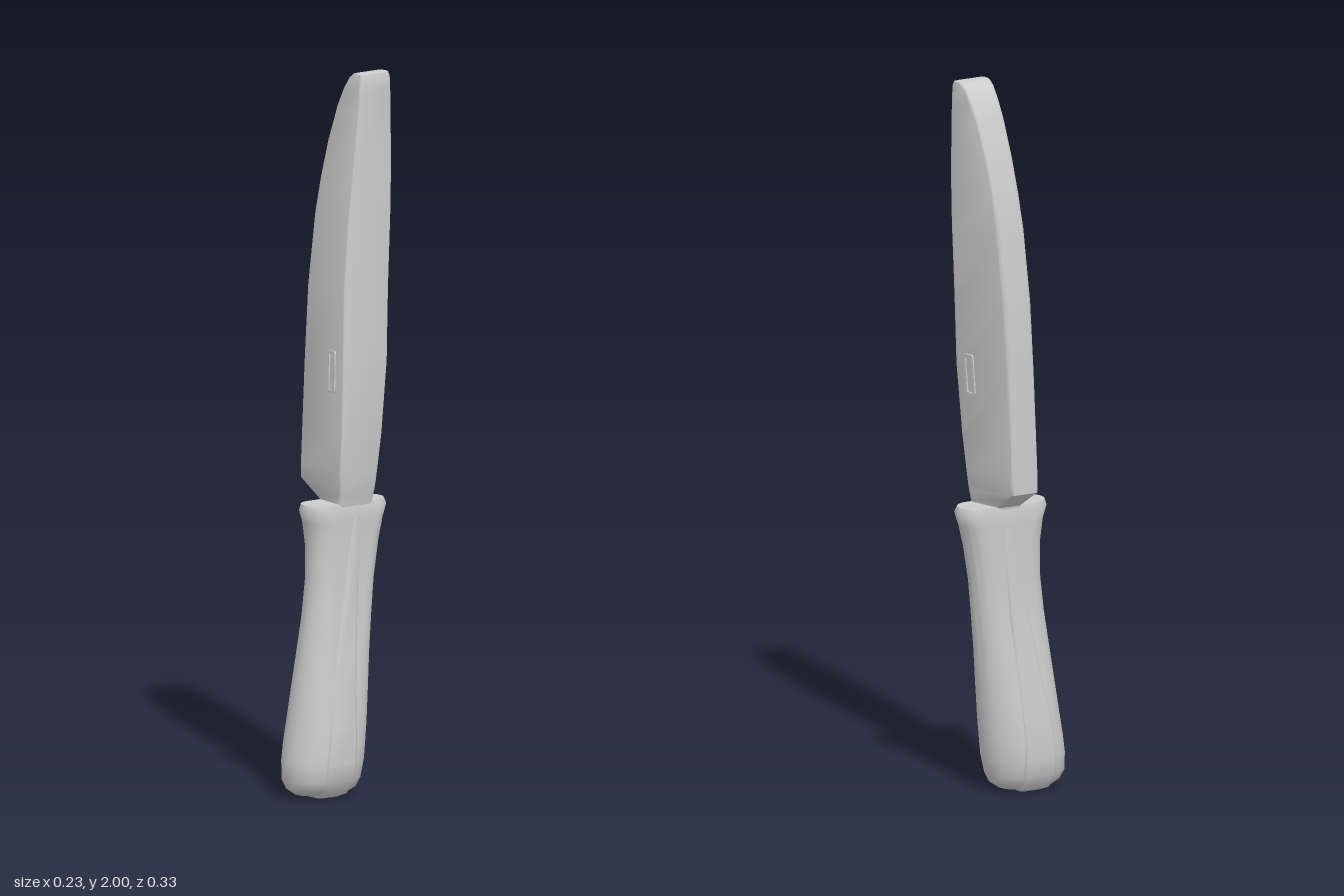
import * as THREE from 'three';
import { toCreasedNormals } from 'three/addons/utils/BufferGeometryUtils.js';

const steel = new THREE.MeshStandardMaterial({ color: 0xcccccc });
steel.name = 'plain grey';

// Blade rows: y, spine x, edge x, spine front z, edge front z, edge back z, spine back z
const bladeRows = [
  [0.78, 0.070, -0.030, 0.030, 0.012, -0.065, -0.088],
  [0.81, 0.072, -0.035, 0.030, 0.012, -0.065, -0.090],
  [0.84, 0.080, -0.082, 0.032, 0.014, -0.065, -0.092],
  [0.862, 0.083, -0.117, 0.035, 0.015, -0.066, -0.094],
  [0.90, 0.087, -0.118, 0.038, 0.015, -0.068, -0.097],
  [1.00, 0.094, -0.116, 0.040, 0.012, -0.071, -0.106],
  [1.20, 0.095, -0.113, 0.036, 0.005, -0.078, -0.124],
  [1.40, 0.086, -0.108, 0.025, -0.003, -0.087, -0.136],
  [1.60, 0.085, -0.091, 0.008, -0.014, -0.098, -0.145],
  [1.70, 0.085, -0.075, -0.004, -0.021, -0.106, -0.147],
  [1.80, 0.085, -0.054, -0.016, -0.029, -0.115, -0.147],
  [1.90, 0.086, -0.023, -0.027, -0.036, -0.125, -0.145],
  [1.95, 0.087, 0.000, -0.032, -0.039, -0.130, -0.143],
  [1.985, 0.086, 0.024, -0.035, -0.040, -0.134, -0.142],
  [1.998, 0.082, 0.042, -0.038, -0.041, -0.136, -0.140],
  [2.00, 0.077, 0.050, -0.042, -0.043, -0.134, -0.136],
];

// Handle rows: y, left x, right x, front z, back z
const handleRows = [
  [0.005, -0.015, 0.045, 0.095, 0.000],
  [0.010, -0.035, 0.065, 0.130, -0.030],
  [0.025, -0.053, 0.087, 0.153, -0.052],
  [0.05, -0.066, 0.101, 0.166, -0.064],
  [0.10, -0.074, 0.108, 0.165, -0.075],
  [0.15, -0.075, 0.108, 0.158, -0.080],
  [0.20, -0.071, 0.105, 0.150, -0.085],
  [0.30, -0.060, 0.095, 0.135, -0.093],
  [0.40, -0.048, 0.085, 0.120, -0.100],
  [0.50, -0.038, 0.077, 0.105, -0.109],
  [0.60, -0.034, 0.073, 0.094, -0.119],
  [0.70, -0.034, 0.072, 0.094, -0.136],
  [0.76, -0.036, 0.073, 0.102, -0.151],
  [0.795, -0.036, 0.074, 0.114, -0.163],
  [0.812, -0.032, 0.069, 0.108, -0.155],
];

// Core strip rows: y, left x, right x, front z, back z
const coreRows = [
  [0.000, -0.025, 0.055, 0.085, 0.015],
  [0.010, -0.050, 0.080, 0.095, 0.005],
  [0.05, -0.074, 0.108, 0.102, 0.000],
  [0.10, -0.081, 0.115, 0.100, -0.002],
  [0.20, -0.077, 0.111, 0.088, -0.006],
  [0.40, -0.053, 0.090, 0.052, -0.022],
  [0.60, -0.038, 0.077, 0.012, -0.038],
  [0.80, -0.035, 0.073, -0.014, -0.056],
];

// Closed loft through horizontal loops, each running from +x towards +z
function loft(loops, crease) {
  const n = loops[0].length, pos = [], idx = [];
  loops.forEach(l => l.forEach(p => pos.push(...p)));
  for (let r = 0; r < loops.length - 1; r++)
    for (let i = 0; i < n; i++) {
      const a = r * n + i, b = r * n + (i + 1) % n;
      idx.push(a, a + n, b, b, a + n, b + n);
    }
  [0, loops.length - 1].forEach((r, top) => {
    const c = pos.length / 3, s = [0, 0, 0];
    loops[r].forEach(p => p.forEach((v, k) => { s[k] += v / n; }));
    pos.push(...s);
    for (let i = 0; i < n; i++) {
      const a = r * n + i, b = r * n + (i + 1) % n;
      if (top) idx.push(c, b, a); else idx.push(c, a, b);
    }
  });
  const g = new THREE.BufferGeometry();
  g.setAttribute('position', new THREE.Float32BufferAttribute(pos, 3));
  g.setIndex(idx);
  return toCreasedNormals(g, crease);
}

// Four-cornered section with rounded corners
function roundedQuad(y, corners, radius) {
  const pts = corners.map(c => new THREE.Vector2(...c)), out = [];
  pts.forEach((p, i) => {
    const toward = q => p.clone().add(q.clone().sub(p).setLength(Math.min(radius, q.distanceTo(p) * 0.4)));
    const curve = new THREE.QuadraticBezierCurve(toward(pts[(i + 3) % 4]), p, toward(pts[(i + 1) % 4]));
    curve.getPoints(4).forEach(v => out.push([v.x, y, v.y]));
  });
  return out;
}

// Section with straight sides and round front and back
function stadium([y, x0, x1, zf, zb]) {
  const w = (x1 - x0) / 2, cx = (x0 + x1) / 2, d = Math.min(w, (zf - zb) / 2), out = [];
  for (let i = 0; i < 34; i++) {
    const front = i < 17, a = Math.PI * (front ? i : i - 1) / 16;
    out.push([cx + w * Math.cos(a), y, (front ? zf - d : zb + d) + d * Math.sin(a)]);
  }
  return out;
}

// Point on the broad front (side = 1) or back (side = -1) of the blade
function bladePoint(x, y, side) {
  const k = bladeRows.findIndex(r => r[0] >= y), a = bladeRows[k - 1], b = bladeRows[k];
  const t = (y - a[0]) / (b[0] - a[0]);
  const r = a.map((v, i) => THREE.MathUtils.lerp(v, b[i], t));
  const u = (x - r[2]) / (r[1] - r[2]);
  const z = side > 0 ? THREE.MathUtils.lerp(r[4], r[3], u) : THREE.MathUtils.lerp(r[5], r[6], u);
  return new THREE.Vector3(x, y, z);
}

function slotPath(w, h, r, Type) {
  const s = new Type(), x = w / 2, y = h / 2;
  s.moveTo(-x + r, -y);
  s.lineTo(x - r, -y).quadraticCurveTo(x, -y, x, -y + r);
  s.lineTo(x, y - r).quadraticCurveTo(x, y, x - r, y);
  s.lineTo(-x + r, y).quadraticCurveTo(-x, y, -x, y - r);
  s.lineTo(-x, -y + r).quadraticCurveTo(-x, -y, -x + r, -y);
  return s;
}

export function createModel() {
  const model = new THREE.Group();
  model.name = 'knife';
  const add = (name, geometry) => {
    const mesh = new THREE.Mesh(geometry, steel);
    mesh.name = name;
    model.add(mesh);
    return mesh;
  };

  // Wedge-shaped blade, thick at the spine
  add('blade', loft(bladeRows.map(([y, xs, xe, fs, fe, be, bs]) =>
    roundedQuad(y, [[xs, fs], [xe, fe], [xe, be], [xs, bs]], 0.012)), 0.6));

  // Rounded handle and the raised core strip around its sides
  add('handle', loft(handleRows.map(stadium), 0.9));
  add('handleCore', loft(coreRows.map(([y, x0, x1, zf, zb]) =>
    roundedQuad(y, [[x1, zf], [x0, zf], [x0, zb], [x1, zb]], 0.015)), 0.7));

  // Slim rectangular frame on each broad side of the blade
  const frame = slotPath(0.036, 0.115, 0.008, THREE.Shape);
  frame.holes.push(slotPath(0.024, 0.103, 0.005, THREE.Path));
  const frameGeometry = new THREE.ExtrudeGeometry(frame, { depth: 0.006, bevelEnabled: false, curveSegments: 4 });
  frameGeometry.translate(0, 0, -0.002);
  for (const side of [1, -1]) {
    const p = bladePoint(0.038, 1.178, side);
    const up = bladePoint(0.038, 1.19, side).sub(p).normalize();
    const across = bladePoint(0.05, 1.178, side).sub(p).multiplyScalar(side);
    const normal = across.cross(up).normalize();
    const right = up.clone().cross(normal);
    const mesh = add(side > 0 ? 'frontFrame' : 'backFrame', frameGeometry);
    mesh.quaternion.setFromRotationMatrix(new THREE.Matrix4().makeBasis(right, up, normal));
    mesh.position.copy(p);
  }
  return model;
}
